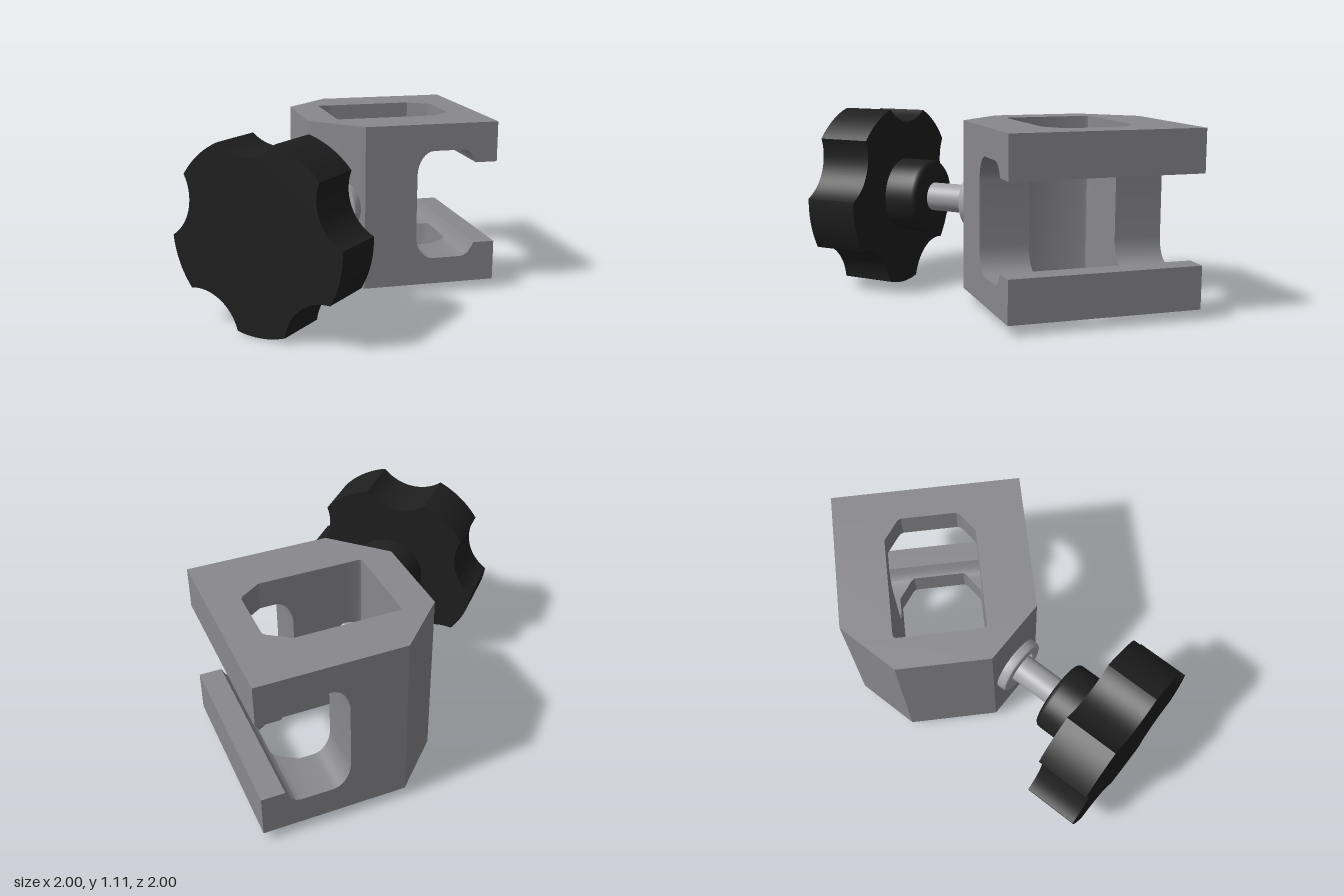
import * as THREE from 'three';
import { toCreasedNormals } from 'three/addons/utils/BufferGeometryUtils.js';

const MID = 0.567; // height of the screw axis and slot centre
const BOTTOM = 0.06, TOP = 1.073;
const RAD = Math.PI / 180;

// Piecewise-linear lookup in rows [x, value, value...]
function lookup(rows, x, column) {
  for (let i = 1; i < rows.length; i++) {
    const a = rows[i - 1], b = rows[i];
    if (x <= b[0]) return THREE.MathUtils.lerp(a[column], b[column], (x - a[0]) / (b[0] - a[0]));
  }
  return rows[rows.length - 1][column];
}

// Clamp block: chamfered prism with a vertical window and a C-shaped slot along z,
// swept across x in slices whose y and z ranges change linearly
function bracketGeometry() {
  const outline = [[-0.13, -0.71, -0.16], [0.16, -1, 0.13], [1, -1, 0.13]];
  const hole = [[0.06, -0.685, -0.185], [0.066, -0.7, -0.172], [0.08, -0.705, -0.167],
    [0.68, -0.705, -0.167], [0.8, -0.62, -0.25], [0.812, -0.6, -0.27]];
  const slot = []; // half height of the slot
  for (let i = 0; i <= 8; i++) {
    const a = i / 8 * Math.PI / 2;
    slot.push([0.488 + 0.105 * (1 - Math.cos(a)), 0.19 + 0.151 * Math.sin(a)]);
  }
  slot.push([0.778, 0.341], [0.805, 0.334], [0.829, 0.317], [0.846, 0.293], [0.864, 0.257], [1, 0.257]);

  const pos = [];
  const quad = (a, b, c, d) => pos.push(...a, ...b, ...c, ...a, ...c, ...d);
  const cap = (x, [y0, y1], [z0, z1], facing) => {
    const p = [[x, y0, z1], [x, y0, z0], [x, y1, z0], [x, y1, z1]];
    quad(...(facing > 0 ? p : p.reverse()));
  };
  const zBands = (x, mid) => {
    const o = [lookup(outline, x, 1), lookup(outline, x, 2)];
    if (mid < hole[0][0] || mid > hole[hole.length - 1][0]) return [o];
    return [[o[0], lookup(hole, x, 1)], [lookup(hole, x, 2), o[1]]];
  };
  const yBands = (x, mid) => {
    if (mid < slot[0][0]) return [[BOTTOM, TOP]];
    const h = lookup(slot, x, 1);
    return [[BOTTOM, MID - h], [MID + h, TOP]];
  };

  const xs = [...new Set([...outline, ...hole, ...slot].map((r) => r[0]))].sort((a, b) => a - b);
  for (let i = 1; i < xs.length; i++) {
    const a = xs[i - 1], b = xs[i], mid = (a + b) / 2;
    const za = zBands(a, mid), zb = zBands(b, mid), ya = yBands(a, mid), yb = yBands(b, mid);
    za.forEach(([a0, a1], j) => ya.forEach(([l0, l1], k) => {
      const [b0, b1] = zb[j], [r0, r1] = yb[k];
      quad([a, l1, a1], [b, r1, b1], [b, r1, b0], [a, l1, a0]); // upper side
      quad([a, l0, a0], [b, r0, b0], [b, r0, b1], [a, l0, a1]); // lower side
      quad([a, l0, a1], [b, r0, b1], [b, r1, b1], [a, l1, a1]); // front side
      quad([a, l1, a0], [b, r1, b0], [b, r0, b0], [a, l0, a0]); // back side
    }));
  }

  // Walls square to x: outer left, window ends, slot end, jaw ends
  const full = [BOTTOM, TOP], last = hole[hole.length - 1], sx = slot[0][0];
  cap(-0.13, full, [-0.71, -0.16], -1);
  cap(hole[0][0], full, hole[0].slice(1), 1);
  zBands(sx, sx).forEach((z) => cap(sx, [MID - 0.19, MID + 0.19], z, 1));
  yBands(last[0], last[0]).forEach((y) => cap(last[0], y, last.slice(1), -1));
  yBands(1, 1).forEach((y) => cap(1, y, [-1, 0.13], 1));

  const g = new THREE.BufferGeometry();
  g.setAttribute('position', new THREE.Float32BufferAttribute(pos, 3));
  return toCreasedNormals(g, 0.45);
}

// Five-lobed hand wheel with scooped finger notches
function wheelGeometry() {
  const R = 0.567, half = 16.5, depth = 0.46;
  const chord = R * Math.sin((36 - half) * RAD);
  const sag = R * Math.cos((36 - half) * RAD) - depth;
  const q = (chord * chord + sag * sag) / (2 * sag);
  const spread = Math.asin(chord / q);
  const shape = new THREE.Shape();
  for (let i = 0; i < 5; i++) {
    const c = (58 + 72 * i) * RAD, m = c + 36 * RAD;
    shape.absarc(0, 0, R, c - half * RAD, c + half * RAD, false);
    shape.absarc((depth + q) * Math.cos(m), (depth + q) * Math.sin(m), q,
      m + Math.PI + spread, m + Math.PI - spread, true);
  }
  const g = new THREE.ExtrudeGeometry(shape, { depth: 0.329, bevelEnabled: false, curveSegments: 12 });
  g.translate(0, 0, 0.52);
  return toCreasedNormals(g, 0.45);
}

// Turned part along z from [radius, z] points
function turned(points) {
  const g = new THREE.LatheGeometry(points.map((p) => new THREE.Vector2(...p)), 48);
  g.rotateX(Math.PI / 2);
  return toCreasedNormals(g, 0.6);
}

export function createModel() {
  const material = (name, color) => {
    const m = new THREE.MeshStandardMaterial({ color });
    m.name = name;
    return m;
  };
  const castGrey = material('cast grey', 0x89888d);
  const steel = material('steel', 0xa4a3a9);
  const black = material('black plastic', 0x1f1f1f);

  const model = new THREE.Group();
  model.name = 'screwClamp';
  const add = (parent, name, geometry, mat) => {
    const mesh = new THREE.Mesh(geometry, mat);
    mesh.name = name;
    parent.add(mesh);
  };

  add(model, 'clampBlock', bracketGeometry(), castGrey);

  // Screw assembly, its local z pointing out through the chamfered corner
  const screw = new THREE.Group();
  screw.name = 'clampingScrew';
  screw.position.y = MID;
  screw.rotation.y = -Math.PI / 4;
  model.add(screw);
  add(screw, 'shaft', turned([[0, -0.255], [0.078, -0.255], [0.087, -0.246], [0.087, 0.4]]), steel);
  add(screw, 'collar', turned([[0.175, -0.035], [0.175, 0.02], [0.168, 0.034], [0.155, 0.04],
    [0.12, 0.04], [0.105, 0.03], [0.1, 0.01], [0.08, 0.01]]), steel);
  add(screw, 'knobHub', turned([[0, 0.304], [0.195, 0.304], [0.211, 0.308], [0.222, 0.319],
    [0.226, 0.335], [0.226, 0.53]]), black);
  add(screw, 'knobWheel', wheelGeometry(), black);
  return model;
}
